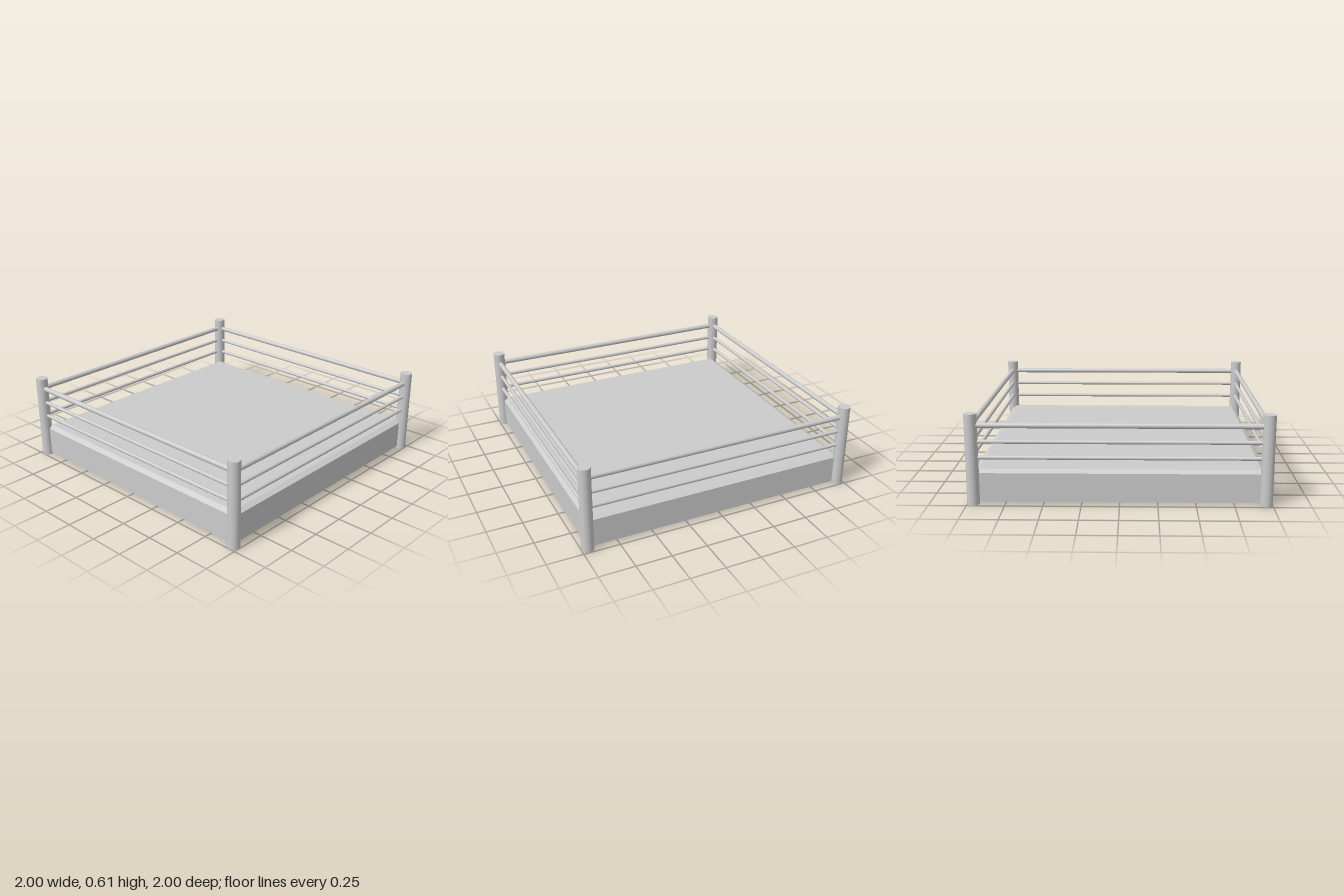
import * as THREE from 'three';

const POST = 0.958;      // distance of posts, ropes and skirt from the centre
const MAT = 0.925;       // half width of the flat mat
const FLOOR = 0.23, EDGE = 0.21, SKIRT_BOTTOM = 0.015;

export function createModel() {
  const root = new THREE.Group();
  const smooth = new THREE.MeshStandardMaterial({ color: 0xcccccc, side: THREE.DoubleSide });
  const flat = new THREE.MeshStandardMaterial({ color: 0xcccccc, side: THREE.DoubleSide, flatShading: true });

  const add = (name, geometry, material, parent = root) => {
    const mesh = new THREE.Mesh(geometry, material);
    mesh.name = name;
    parent.add(mesh);
    return mesh;
  };

  // Open square band between two heights, given its half widths
  const band = (topHalf, bottomHalf, y0, y1) =>
    new THREE.CylinderGeometry(topHalf * Math.SQRT2, bottomHalf * Math.SQRT2, y1 - y0, 4, 1, true)
      .rotateY(Math.PI / 4)
      .translate(0, (y0 + y1) / 2, 0);

  // Hollow platform: skirt, sloping edge and mat
  add('platformSkirt', band(POST, POST, SKIRT_BOTTOM, EDGE), flat);
  add('platformEdge', band(MAT, POST, EDGE, FLOOR), flat);
  add('mat', new THREE.PlaneGeometry(MAT * 2, MAT * 2).rotateX(-Math.PI / 2).translate(0, FLOOR, 0), flat);

  // Corner posts: tubes with a flat cap, open below
  const postRadius = 0.042, postHeight = 0.61;
  const tube = new THREE.CylinderGeometry(postRadius, postRadius, postHeight, 32, 1, true)
    .translate(0, postHeight / 2, 0);
  const cap = new THREE.CircleGeometry(postRadius, 32).rotateX(-Math.PI / 2).translate(0, postHeight, 0);
  for (const sx of [-1, 1]) {
    for (const sz of [-1, 1]) {
      const post = new THREE.Group();
      post.name = 'cornerPost';
      add('postTube', tube, smooth, post);
      add('postCap', cap, smooth, post);
      post.position.set(sx * POST, 0, sz * POST);
      root.add(post);
    }
  }

  // Three ropes on each of the four sides: [name, height, radius]
  const ropes = [['lowerRope', 0.317, 0.013], ['middleRope', 0.423, 0.013], ['topRope', 0.532, 0.018]];
  for (let side = 0; side < 4; side++) {
    const ropeSide = new THREE.Group();
    ropeSide.name = 'ropeSide';
    for (const [name, y, r] of ropes) {
      add(name, new THREE.CylinderGeometry(r, r, POST * 2, 20, 1, true).rotateZ(Math.PI / 2), smooth, ropeSide)
        .position.set(0, y, POST);
    }
    ropeSide.rotation.y = side * Math.PI / 2;
    root.add(ropeSide);
  }

  return root;
}
